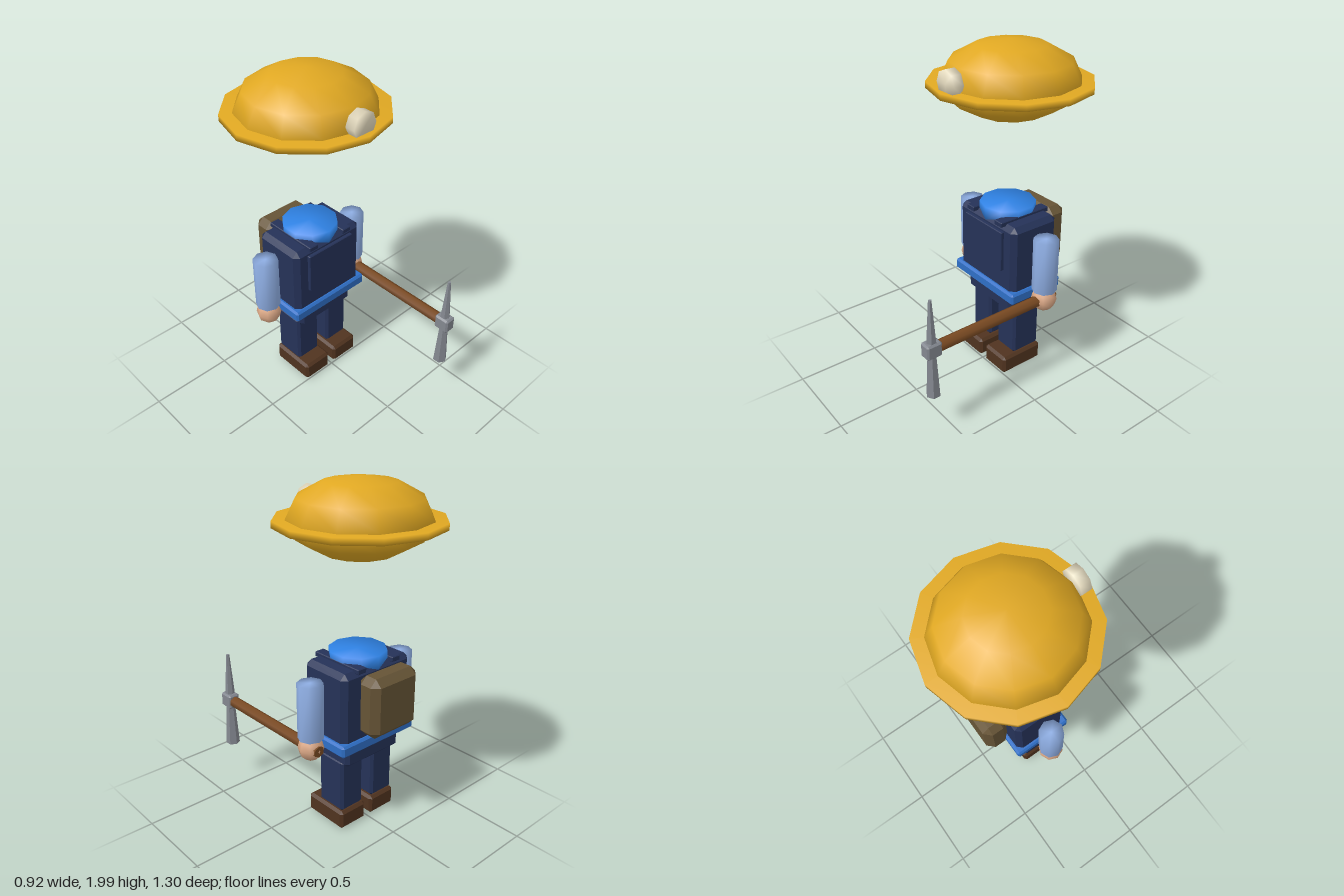
import * as THREE from 'three';
import { mergeVertices } from 'three/addons/utils/BufferGeometryUtils.js';
import { ConvexGeometry } from 'three/addons/geometries/ConvexGeometry.js';

const mat = (name, color) => {
  const m = new THREE.MeshStandardMaterial({ color });
  m.name = name;
  return m;
};

// Box with flat chamfered edges
function chamferBox(w, h, d, c) {
  const pts = [];
  for (const sx of [-1, 1]) for (const sy of [-1, 1]) for (const sz of [-1, 1]) {
    const x = w / 2, y = h / 2, z = d / 2;
    pts.push(new THREE.Vector3(sx * x, sy * (y - c), sz * (z - c)));
    pts.push(new THREE.Vector3(sx * (x - c), sy * y, sz * (z - c)));
    pts.push(new THREE.Vector3(sx * (x - c), sy * (y - c), sz * z));
  }
  return new ConvexGeometry(pts);
}

// Weld all corners so shading runs smoothly over the rims
function smooth(geo) {
  geo.deleteAttribute('uv');
  geo.deleteAttribute('normal');
  const g = mergeVertices(geo, 1e-4);
  g.computeVertexNormals();
  return g;
}

const flat = (geo) => {
  const g = geo.toNonIndexed();
  g.computeVertexNormals();
  return g;
};

export function createModel() {
  const model = new THREE.Group();
  const navy = mat('navy cloth', 0x253258);
  const beltBlue = mat('belt blue', 0x2f6fc6);
  const collarBlue = mat('collar blue', 0x2f82e4);
  const sleeve = mat('sleeve blue', 0x90b0e6);
  const skin = mat('skin', 0xd9a684);
  const boot = mat('boot brown', 0x50331f);
  const canvas = mat('canvas', 0x665436);
  const wood = mat('wood', 0x7a4a22);
  const metal = mat('metal', 0x83878f);
  const yellow = mat('helmet yellow', 0xe0a822);
  yellow.side = THREE.FrontSide;
  const lampWhite = mat('lamp cream', 0xe6dcc0);
  // the belt and collar share one blue family; the sleeve stays lighter
  const Z = -0.185;

  const add = (name, geo, material, x, y, z) => {
    const m = new THREE.Mesh(geo, material);
    m.name = name;
    m.position.set(x, y, z);
    model.add(m);
    return m;
  };

  // Body
  add('torso', chamferBox(0.505, 0.45, 0.33, 0.03), navy, 0, 0.79, Z);
  add('bib', chamferBox(0.335, 0.25, 0.04, 0.004), navy, 0, 0.85, -0.02);
  add('belt', chamferBox(0.55, 0.07, 0.37, 0.012), beltBlue, 0, 0.575, Z);
  add('hips', chamferBox(0.405, 0.15, 0.28, 0.02), navy, 0, 0.505, Z);
  add('collar', smooth(new THREE.CylinderGeometry(0.165, 0.165, 0.08, 10)), collarBlue, 0, 1.023, Z);
  add('backpack', chamferBox(0.34, 0.35, 0.15, 0.04), canvas, 0, 0.83, -0.425);

  // Paired parts
  for (const s of [-1, 1]) {
    const side = s > 0 ? 'left' : 'right';
    add(side + 'Strap', chamferBox(0.062, 0.03, 0.35, 0.004), navy, s * 0.128, 1.015, -0.182);
    add(side + 'Leg', chamferBox(0.165, 0.33, 0.195, 0.015), navy, s * 0.118, 0.285, -0.182);
    add(side + 'Boot', chamferBox(0.192, 0.115, 0.29, 0.016), boot, s * 0.116, 0.063, -0.145);
    add(side + 'Arm', smooth(new THREE.CylinderGeometry(0.073, 0.073, 0.33, 8)), sleeve, s * 0.343, 0.79, -0.182);
    add(side + 'Hand', smooth(new THREE.SphereGeometry(0.074, 8, 6)), skin, s * 0.343, 0.565, -0.182);
  }

  // Pickaxe
  const px = 0.343, py = 0.565, pz = 0.598;
  const handle = add('pickaxeHandle', new THREE.CylinderGeometry(0.034, 0.034, 0.85, 6), wood, px, py, 0.172);
  handle.rotation.x = Math.PI / 2;
  add('pickaxeSocket', chamferBox(0.072, 0.09, 0.094, 0.01), metal, px, py, pz);
  add('pickaxeUpperSpike', flat(new THREE.CylinderGeometry(0.01, 0.032, 0.3, 6)), metal, px, 0.717, pz);
  add('pickaxeLowerSpike', flat(new THREE.CylinderGeometry(0.024, 0.042, 0.3, 6)), metal, px, 0.412, pz);

  // Helmet with lamp
  const dome = add('helmetDome', smooth(new THREE.SphereGeometry(0.39, 12, 6).scale(1, 0.2125 / 0.39, 1)), yellow, 0, 1.7875, -0.19);
  dome.castShadow = false;
  add('helmetBrim', smooth(new THREE.CylinderGeometry(0.46, 0.46, 0.036, 12)), yellow, 0, 1.768, -0.19);
  const lamp = add('helmetLamp', smooth(new THREE.CylinderGeometry(0.077, 0.077, 0.06, 8)), lampWhite, 0, 1.828, 0.206);
  lamp.rotation.x = Math.PI / 2;

  return model;
}
